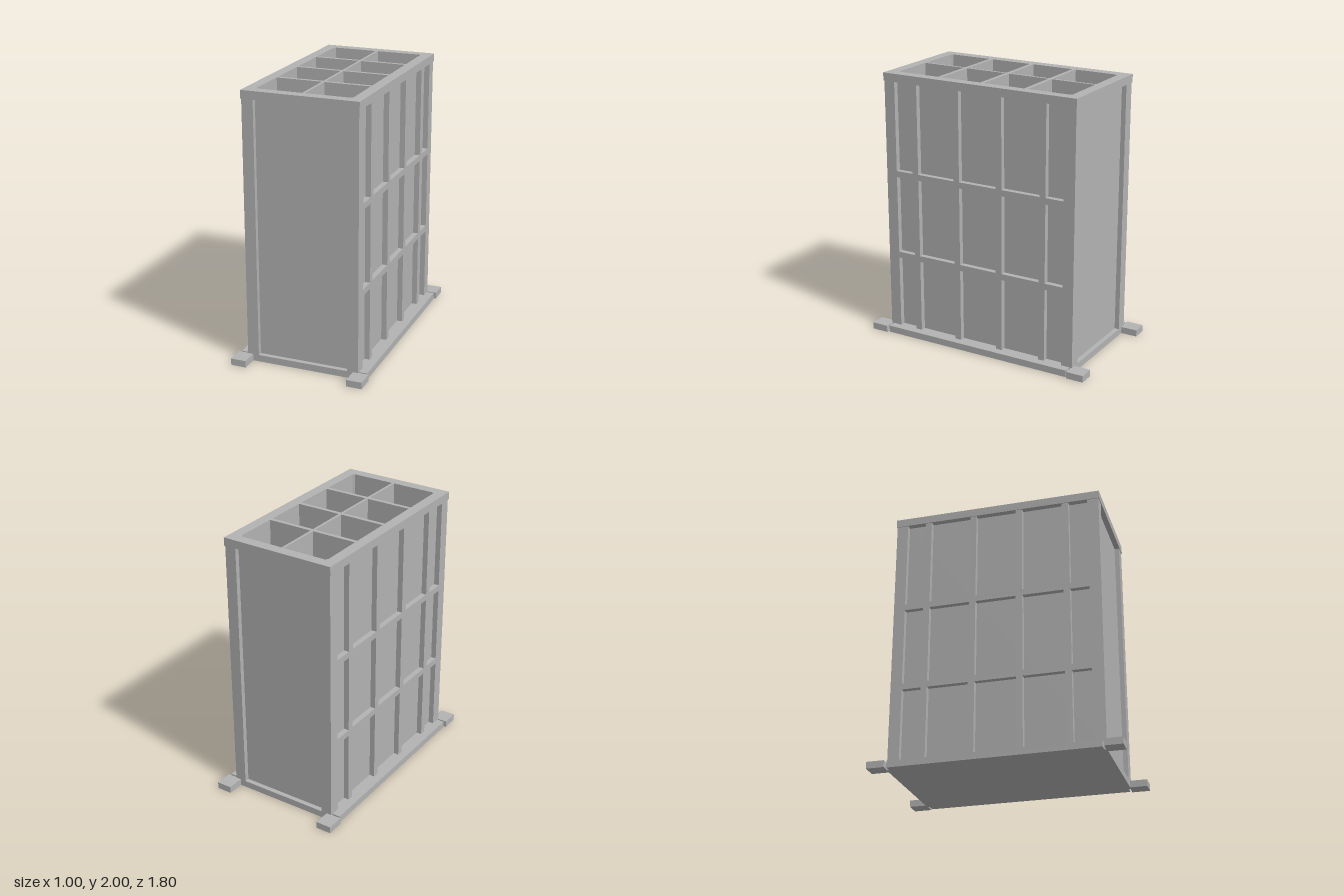
import * as THREE from 'three';

const grey = new THREE.MeshStandardMaterial({ color: 0xb2b2b2 });
grey.name = 'grey';

// Box given by its limits on each axis
function block(name, parent, [x0, x1], [y0, y1], [z0, z1]) {
  const mesh = new THREE.Mesh(new THREE.BoxGeometry(x1 - x0, y1 - y0, z1 - z0), grey);
  mesh.position.set((x0 + x1) / 2, (y0 + y1) / 2, (z0 + z1) / 2);
  mesh.name = name;
  parent.add(mesh);
}

// Limits mirrored to the other side when s is -1
const flip = (s, a, b) => (s > 0 ? [a, b] : [-b, -a]);

function rectangle(path, x0, x1, y0, y1) {
  path.moveTo(x0, y0);
  path.lineTo(x1, y0);
  path.lineTo(x1, y1);
  path.lineTo(x0, y1);
  path.closePath();
  return path;
}

// Cell opening; the four cells at the corners have one chamfered corner
function cellHole(sx, sz, z0, z1, chamfer) {
  const c = chamfer ? 0.015 : 0;
  const points = [[0.01, z0], [0.35, z0], [0.35, z1 - c]];
  if (c) points.push([0.35 - c, z1]);
  else points[2] = [0.35, z1];
  points.push([0.01, z1]);
  return new THREE.Path(points.map(([x, z]) => new THREE.Vector2(sx * x, sz * z)));
}

function extrudeUp(name, parent, shape, y0, y1) {
  const geometry = new THREE.ExtrudeGeometry(shape, { depth: y1 - y0, bevelEnabled: false });
  geometry.rotateX(-Math.PI / 2);
  geometry.translate(0, y0, 0);
  const mesh = new THREE.Mesh(geometry, grey);
  mesh.name = name;
  parent.add(mesh);
}

export function createModel() {
  const model = new THREE.Group();
  model.name = 'compartmentBin';
  const sides = [1, -1];

  // Inner walls and dividers with eight open cells
  const walls = rectangle(new THREE.Shape(), -0.385, 0.385, -0.74, 0.74);
  for (const sx of sides) for (const sz of sides) {
    walls.holes.push(cellHole(sx, sz, 0.015, 0.335, false));
    walls.holes.push(cellHole(sx, sz, 0.365, 0.7, true));
  }
  extrudeUp('cellWalls', model, walls, 0.05, 2);

  // Top rim
  const rim = rectangle(new THREE.Shape(), -0.43, 0.43, -0.78, 0.78);
  rim.holes.push(rectangle(new THREE.Path(), -0.385, 0.385, -0.74, 0.74));
  extrudeUp('topRim', model, rim, 1.94, 2);

  // Base
  block('basePlate', model, [-0.425, 0.425], [0, 0.05], [-0.775, 0.775]);

  for (const sx of sides) {
    // Side grid: uprights and cross rails over the recessed panel
    const grid = new THREE.Group();
    grid.name = sx > 0 ? 'leftGrid' : 'rightGrid';
    model.add(grid);
    const ribX = flip(sx, 0.385, 0.425);
    for (const z of [-0.525, -0.175, 0.175, 0.525])
      block('upright', grid, ribX, [0.05, 1.94], [z - 0.024, z + 0.024]);
    for (const y of [0.622, 1.252])
      block('crossRail', grid, ribX, [y - 0.023, y + 0.023], [-0.69, 0.69]);

    block('baseRail', model, flip(sx, 0.425, 0.485), [0, 0.05], [-0.757, 0.757]);

    for (const sz of sides) {
      // Corner posts wrap both the side and the end
      block('cornerPostSide', model, ribX, [0.05, 1.94], flip(sz, 0.69, 0.775));
      block('cornerPostEnd', model, flip(sx, 0.34, 0.385), [0.05, 1.94], flip(sz, 0.74, 0.775));
      block('foot', model, flip(sx, 0.385, 0.5), [0, 0.05], flip(sz, 0.77, 0.9));
    }
  }
  return model;
}
